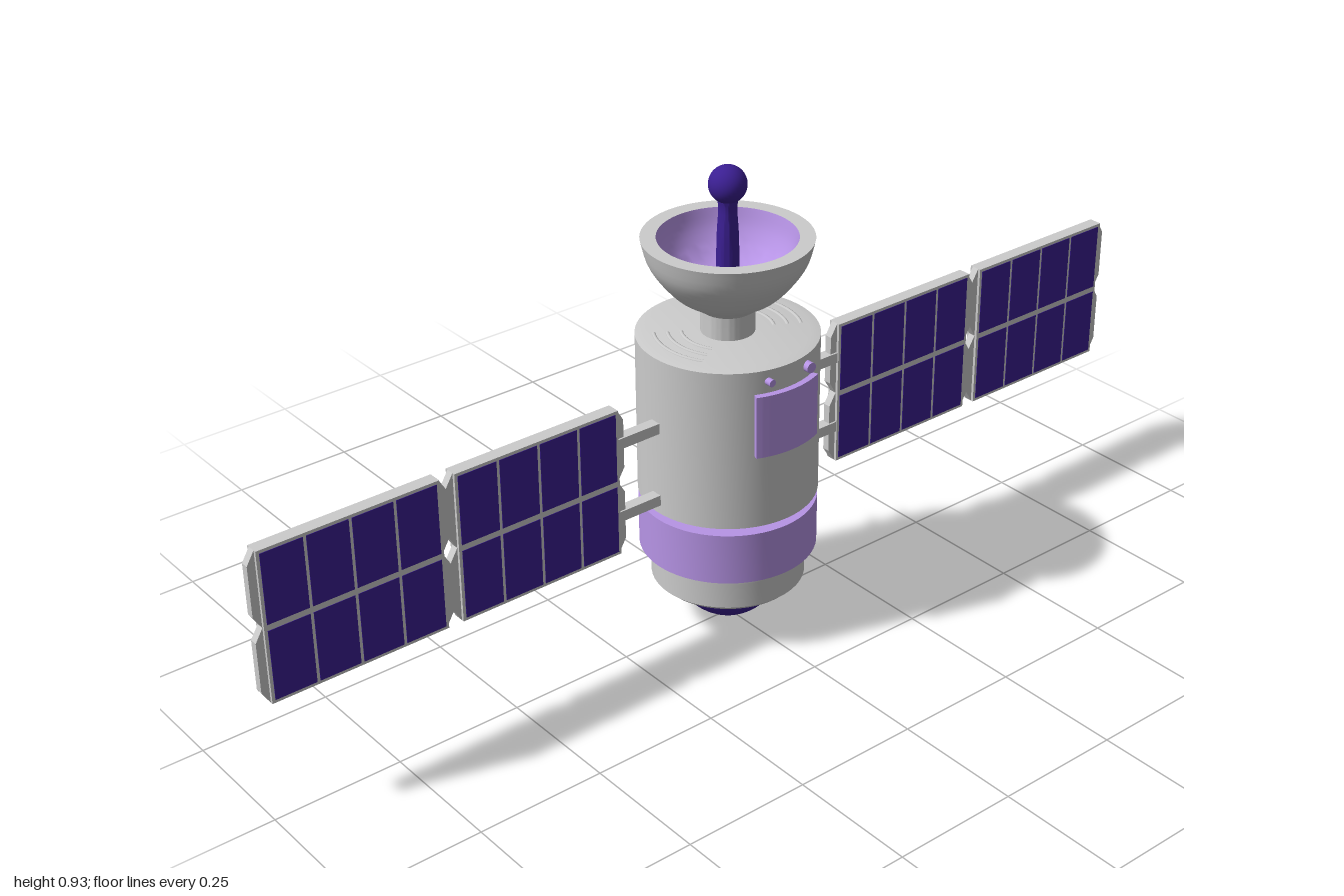
import * as THREE from 'three';
import { toCreasedNormals } from 'three/addons/utils/BufferGeometryUtils.js';

const grey = new THREE.MeshStandardMaterial({ color: 0xcccccc });
const lavender = new THREE.MeshStandardMaterial({ color: 0xb794e6 });
const violet = new THREE.MeshStandardMaterial({ color: 0x3b1f92 });

function add(parent, name, geometry, material, x = 0, y = 0, z = 0) {
  const mesh = new THREE.Mesh(geometry, material);
  mesh.name = name;
  mesh.position.set(x, y, z);
  parent.add(mesh);
  return mesh;
}

// Turned part from [radius, y] pairs, listed so that outer walls run upwards
function turned(parent, name, profile, material) {
  const points = profile.map(([r, y]) => new THREE.Vector2(r, y));
  return add(parent, name, toCreasedNormals(new THREE.LatheGeometry(points, 64), 0.5), material);
}

// Smooth run of [radius, y] pairs through a few points
function smooth(profile, steps = 16) {
  const curve = new THREE.SplineCurve(profile.map(([r, y]) => new THREE.Vector2(r, y)));
  return curve.getPoints(steps).map((p) => [Math.max(p.x, 0), p.y]);
}

// Half panel frame whose two ends swell outwards and thin down
function frameGeometry(thick, height, length, bulge) {
  const geometry = new THREE.BoxGeometry(thick, height, length, 1, 3, 1);
  const p = geometry.attributes.position;
  for (let i = 0; i < p.count; i++) {
    const y = p.getY(i);
    if (Math.abs(y) > height * 0.4) continue;
    p.setY(i, Math.sign(y) * height * 0.33);
    p.setZ(i, p.getZ(i) + Math.sign(p.getZ(i)) * bulge);
  }
  return toCreasedNormals(geometry, 0.2);
}

// Tapered end cap that closes a frame end, thin at the outer edge
function solarPanel(zInner, zOuter) {
  const panel = new THREE.Group();
  panel.name = 'solarPanel';
  const length = zOuter - zInner, mid = (zInner + zOuter) / 2;
  const height = 0.148, columns = 4;
  const cellL = (length - 0.006 * (columns + 1)) / columns;
  const core = new THREE.BoxGeometry(0.026, height, length);
  const ends = frameGeometry(0.015, height, length, 0.015);
  const cell = new THREE.BoxGeometry(0.028, height - 0.012, cellL);
  for (const y of [0.315, 0.463]) {
    add(panel, 'panelFrame', core, grey, 0, y, mid);
    add(panel, 'panelEnds', ends, grey, 0, y, mid);
    for (let c = 0; c < columns; c++) {
      const z = zInner + 0.006 + cellL / 2 + c * (cellL + 0.006);
      add(panel, 'solarCell', cell, violet, 0, y, z);
    }
  }
  return panel;
}

function wing() {
  const group = new THREE.Group();
  group.name = 'wing';
  group.add(solarPanel(0.262, 0.607), solarPanel(0.637, 0.985));
  for (const y of [0.316, 0.466]) {
    add(group, 'wingArm', new THREE.BoxGeometry(0.022, 0.021, 0.12), grey, 0, y, 0.206);
  }
  return group;
}

// Curved plate that follows the hull
function hatchGeometry(inner, outer, halfAngle, height) {
  const shape = new THREE.Shape();
  shape.absarc(0, 0, outer, -halfAngle, halfAngle, false);
  shape.absarc(0, 0, inner, halfAngle, -halfAngle, true);
  shape.closePath();
  const geometry = new THREE.ExtrudeGeometry(shape, { depth: height, bevelEnabled: false, curveSegments: 16 });
  geometry.rotateX(-Math.PI / 2);
  return toCreasedNormals(geometry, 0.5);
}

export function createModel() {
  const model = new THREE.Group();
  model.name = 'satellite';
  const craft = new THREE.Group();
  craft.name = 'craft';
  craft.position.x = -0.003;
  model.add(craft);

  // Hull, from the nose below to the collar on top
  turned(craft, 'bottomDome', smooth([[0, 0.002], [0.045, 0.017], [0.08, 0.045], [0.095, 0.077], [0.098, 0.105]]), violet);
  turned(craft, 'lowerRing', [[0, 0.1], [0.115, 0.1], [0.122, 0.091], [0.135, 0.091], [0.146, 0.101],
    [0.146, 0.16], [0.158, 0.16], [0.158, 0.17], [0, 0.17]], grey);
  turned(craft, 'colouredBand', [[0, 0.163], [0.155, 0.163], [0.168, 0.169], [0.168, 0.271], [0, 0.271]], lavender);
  turned(craft, 'waist', [[0.085, 0.268], [0.085, 0.292]], grey);
  turned(craft, 'mainBody', [[0, 0.291], [0.15, 0.291], [0.169, 0.287], [0.169, 0.605], [0.15, 0.609], [0, 0.609]], grey);
  turned(craft, 'dishCollar', [[0.05, 0.605], [0.05, 0.66]], grey);

  // Dish with coloured bowl and antenna
  turned(craft, 'dish', [[0, 0.652], ...smooth([[0.048, 0.652], [0.07, 0.668], [0.098, 0.687], [0.126, 0.719],
    [0.146, 0.752], [0.157, 0.793]]), [0.128, 0.793]], grey);
  turned(craft, 'dishBowl', smooth([[0.128, 0.793], [0.118, 0.757], [0.095, 0.721], [0.06, 0.696], [0, 0.685]]), lavender);
  turned(craft, 'antennaStem', smooth([[0.022, 0.68], [0.02, 0.79], [0.017, 0.845], [0.02, 0.872]]), violet);
  add(craft, 'antennaBall', new THREE.SphereGeometry(0.035, 32, 24), violet, 0, 0.893, 0);

  // Curved ribs on the top deck, fore and aft
  for (const side of [1, -1]) {
    for (const r of [0.085, 0.11, 0.135]) {
      const arc = 1.1;
      const rib = new THREE.TorusGeometry(r, 0.004, 8, 24, arc);
      rib.rotateZ(Math.PI / 2 - arc / 2).rotateX(side * Math.PI / 2);
      add(craft, 'deckRib', rib, grey, 0, 0.608, 0);
    }
  }

  // Solar wings, fore and aft
  const front = wing(), back = wing();
  back.rotation.y = Math.PI;
  craft.add(front, back);

  // Hatch and buttons on the +x side
  add(craft, 'hatch', hatchGeometry(0.16, 0.181, 0.41, 0.123), lavender, 0, 0.437, 0);
  for (const [z, r] of [[0.043, 0.007], [-0.048, 0.01]]) {
    const button = new THREE.CylinderGeometry(r, r, 0.025, 20).rotateZ(Math.PI / 2);
    add(craft, 'button', button, lavender, 0.163, 0.583, z);
  }

  // Row of ports with four rounded lamps on the -x side
  for (const angle of [-0.42, -0.14, 0.14, 0.42]) {
    const port = new THREE.TorusGeometry(0.011, 0.004, 10, 24).rotateY(Math.PI / 2);
    const ring = add(craft, 'port', port, grey, -0.17 * Math.cos(angle), 0.499, 0.17 * Math.sin(angle));
    ring.rotation.y = angle;
  }
  for (const y of [0.461, 0.537]) {
    for (const z of [-0.065, 0.065]) {
      const lamp = new THREE.CapsuleGeometry(0.008, 0.014, 6, 16).rotateZ(Math.PI / 2);
      add(craft, 'lamp', lamp, lavender, -0.16, y, z);
    }
  }
  return model;
}
